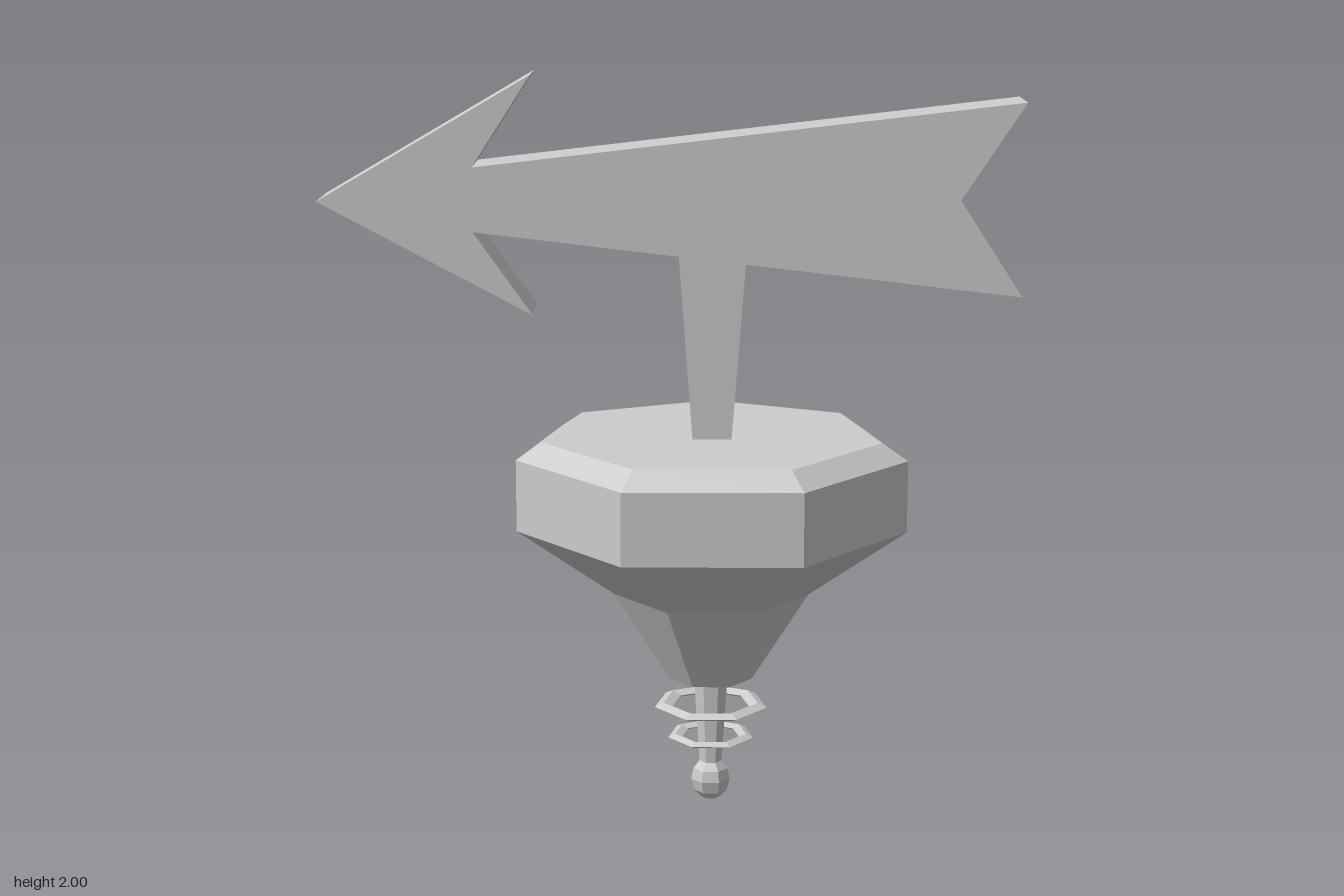
import * as THREE from 'three';

const material = new THREE.MeshStandardMaterial({ color: 0xcccccc, flatShading: true });

export function createModel() {
  const model = new THREE.Group();
  const add = (parent, name, geometry) => {
    const mesh = new THREE.Mesh(geometry, material);
    mesh.name = name;
    parent.add(mesh);
    return mesh;
  };

  // Seven-sided turned pieces share one off-centre axis
  const base = new THREE.Group();
  base.name = 'base';
  base.position.set(0.095, 0, -0.055);
  model.add(base);
  const turn = (name, points) => add(base, name, new THREE.LatheGeometry(
    points.map(([r, y]) => new THREE.Vector2(r, y)), 7, THREE.MathUtils.degToRad(61.7)));

  turn('body', [[0, 0.35], [0.115, 0.35], [0.27, 0.6], [0.535, 0.79], [0.535, 0.985], [0.465, 1.03], [0, 1.03]]);
  turn('spindle', [[0.03, 0.09], [0.048, 0.36]]);
  turn('ballTip', [[0, 0.003], [0.025, 0], [0.046, 0.022], [0.055, 0.055], [0.048, 0.085], [0.03, 0.108], [0, 0.11]]);

  // Loose rings with a diamond section
  const ring = (name, inner, outer, y, half) => {
    const mid = (inner + outer) / 2;
    turn(name, [[outer, y], [mid, y + half], [inner, y], [mid, y - half], [outer, y]]);
  };
  ring('upperRing', 0.108, 0.158, 0.27, 0.011);
  ring('lowerRing', 0.08, 0.12, 0.18, 0.009);

  // Pointer: arrow and its post, turned together
  const pointer = new THREE.Group();
  pointer.name = 'pointer';
  pointer.rotation.y = 0.626;
  model.add(pointer);

  // Arrow outline, extruded to an even thickness
  const outline = [[-0.93, 1.67], [-0.365, 1.37], [-0.52, 1.59], [0.925, 1.42],
    [0.758, 1.675], [0.925, 1.93], [-0.52, 1.76], [-0.365, 2]];
  const shape = new THREE.Shape(outline.map(([x, y]) => new THREE.Vector2(x, y)));
  const arrow = new THREE.ExtrudeGeometry(shape, { depth: 0.19, bevelEnabled: false });
  arrow.translate(0, 0, -0.095);
  add(pointer, 'arrow', arrow);

  // Post widening upward into the arrow
  const post = new THREE.BoxGeometry(2, 0.6, 2);
  const p = post.attributes.position;
  for (let i = 0; i < p.count; i++) {
    const top = p.getY(i) > 0;
    p.setX(i, p.getX(i) * (top ? 0.095 : 0.05));
    p.setZ(i, p.getZ(i) * (top ? 0.073 : 0.064));
  }
  post.computeVertexNormals();
  add(pointer, 'post', post).position.set(0.11, 1.3, 0.009);

  return model;
}
